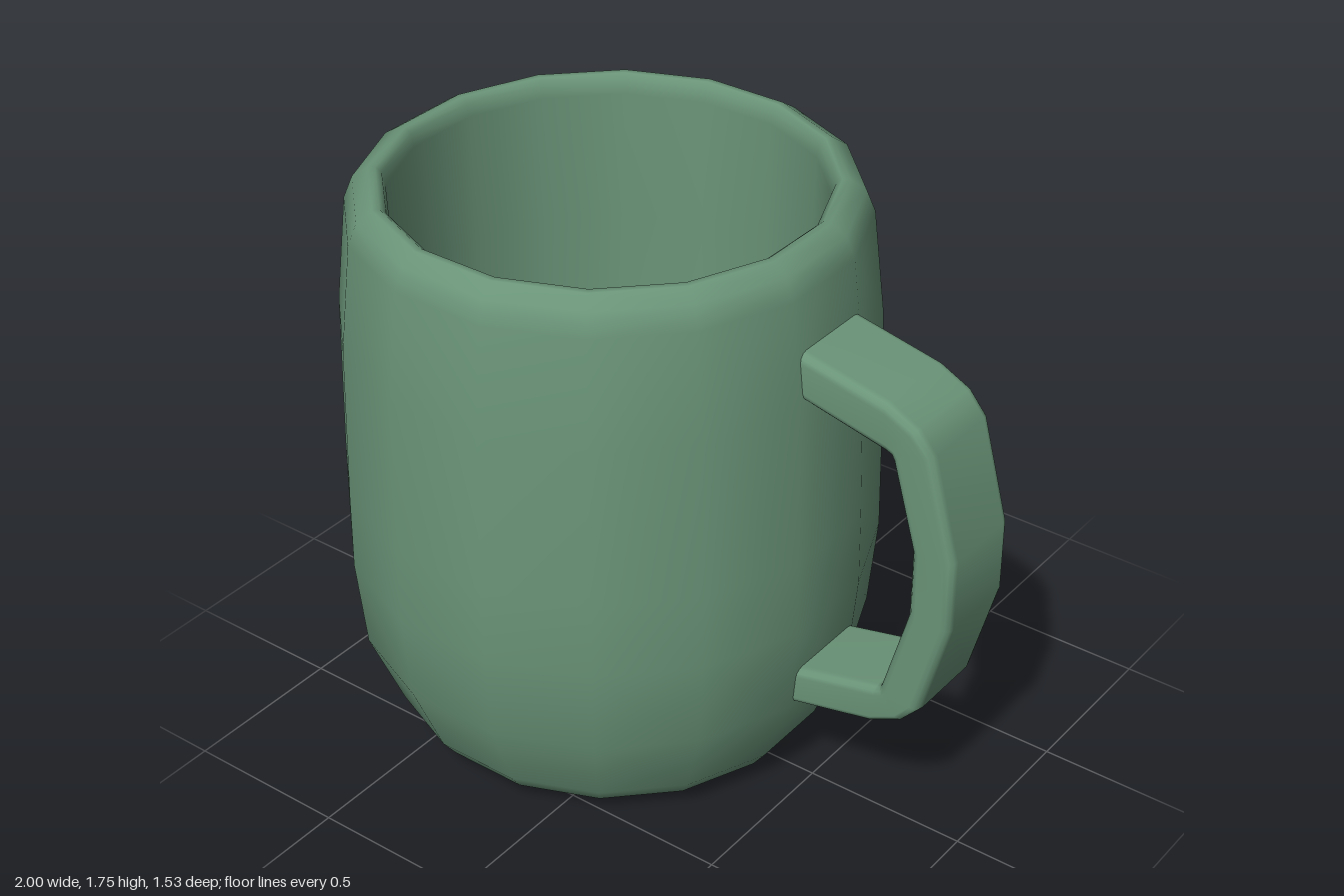
import * as THREE from 'three';

const SIDES = 16;
const v2 = ([x, y]) => new THREE.Vector2(x, y);

// Closed cup profile: underside, outer wall, rim, inner wall, floor (distance to flat side, height)
const CUP = [
  [0, 0], [0.53, 0.028], [0.565, 0.032], [0.605, 0.052], [0.648, 0.11], [0.742, 0.345],
  [0.767, 0.62], [0.764, 0.85], [0.751, 1.33], [0.716, 1.65], [0.69, 1.715], [0.645, 1.745],
  [0.625, 1.745], [0.608, 1.73], [0.6, 1.69], [0.595, 1.3], [0.585, 0.6],
  [0.558, 0.17], [0.545, 0.145], [0.52, 0.14], [0, 0.13],
];

// Handle stations from top to bottom: outer edge x, y then inner edge x, y
const HANDLE = [
  [0.47, 1.503, 0.47, 1.362],
  [0.765, 1.442, 0.775, 1.293],
  [0.86, 1.395, 0.785, 1.29],
  [0.915, 1.33, 0.79, 1.28],
  [0.997, 1.03, 0.865, 1.02],
  [0.997, 0.81, 0.865, 0.815],
  [0.917, 0.51, 0.79, 0.54],
  [0.86, 0.447, 0.785, 0.53],
  [0.765, 0.4, 0.775, 0.527],
  [0.47, 0.337, 0.47, 0.458],
];

// Rounded rectangle loop: position from inner (-1) to outer (1) edge, and z
function sectionLoop(halfWidth) {
  const loop = [];
  const rz = 0.03, rt = 0.4;
  [[1, 1], [-1, 1], [-1, -1], [1, -1]].forEach(([st, sz], q) => {
    for (let k = 0; k <= 3; k++) {
      const a = (q + k / 3) * Math.PI / 2;
      loop.push([st * (1 - rt) + rt * Math.cos(a), sz * (halfWidth - rz) + rz * Math.sin(a)]);
    }
  });
  return loop;
}

function handleGeometry() {
  const loop = sectionLoop(0.143), n = loop.length;
  const pos = [], index = [];
  HANDLE.forEach(([ox, oy, ix, iy], i) => {
    for (const [t, z] of loop) {
      const f = (t + 1) / 2;
      pos.push(ix + (ox - ix) * f, iy + (oy - iy) * f, z - 0.012);
    }
    if (i === HANDLE.length - 1) return;
    for (let j = 0; j < n; j++) {
      const a = i * n + j, b = i * n + (j + 1) % n;
      index.push(a, b, a + n, b, b + n, a + n);
    }
  });
  const g = new THREE.BufferGeometry();
  g.setAttribute('position', new THREE.Float32BufferAttribute(pos, 3));
  g.setIndex(index);
  g.computeVertexNormals();
  return g;
}

export function createModel() {
  const group = new THREE.Group();
  group.name = 'mug';
  const material = new THREE.MeshStandardMaterial({ color: 0x6a9478 });

  // Hollow cup with a flat side towards each axis
  const scale = 1 / Math.cos(Math.PI / SIDES);
  const profile = CUP.map(([r, y]) => v2([r * scale, y]));
  const cup = new THREE.Mesh(new THREE.LatheGeometry(profile, SIDES, Math.PI / SIDES), material);
  cup.name = 'cup';
  cup.position.x = -0.233;

  // Handle, its ends sunk into the cup wall
  const handle = new THREE.Mesh(handleGeometry(), material);
  handle.name = 'handle';

  group.add(cup, handle);
  return group;
}
